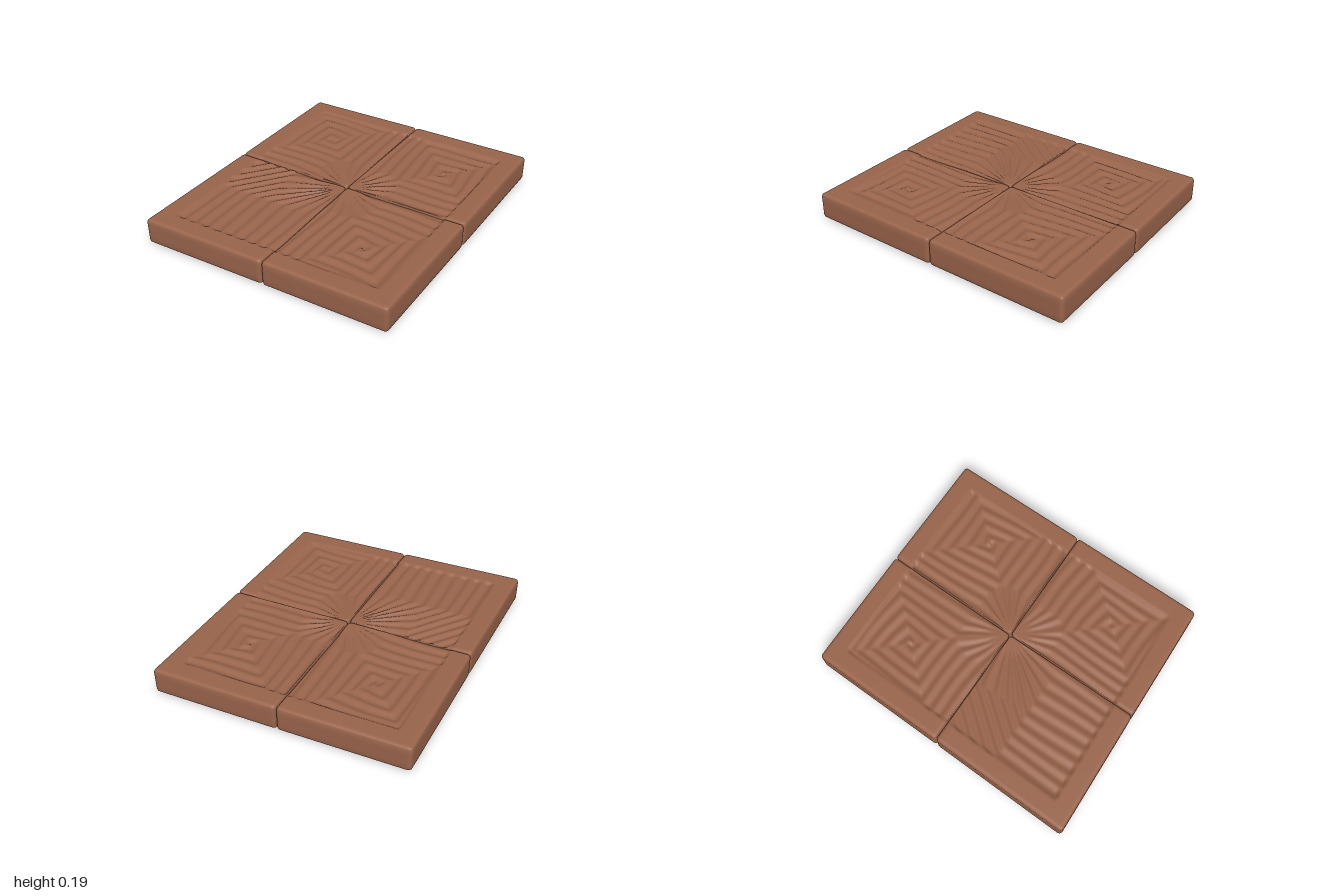
import * as THREE from 'three';
import { mergeVertices } from 'three/addons/utils/BufferGeometryUtils.js';

const clamp = THREE.MathUtils.clamp;
const smooth = THREE.MathUtils.smoothstep;
const TOP = 0.189, BASE = 0.008, H = TOP - BASE, R = 0.026;
const W = 0.87, D = 0.97, N = 84;

// slightly skewed outline: 3 x 3 corner points [x, z], rows from back to front
const corners = [
  [[-0.845, -0.955], [0.02, -0.98], [0.885, -1.0]],
  [[-0.865, 0.01], [0, 0], [0.865, -0.015]],
  [[-0.89, 1.0], [-0.01, 0.97], [0.845, 0.945]],
];

// the four slabs; centre is the middle of the carved spiral, none for the fan
const slabs = [
  { name: 'backRightSlab', i: 0, j: 0, centre: [0.43, 0.51] },
  { name: 'backLeftSlab', i: 1, j: 0, centre: [0.48, 0.5] },
  { name: 'frontRightSlab', i: 0, j: 1, centre: null },
  { name: 'frontLeftSlab', i: 1, j: 1, centre: [0.44, 0.53] },
];

// pull points near the middle out to a square, so grooves there run to the middle
function fanOut(a, b, size) {
  const m = Math.pow(a ** 5 + b ** 5, 0.2);
  const s = m < size ? size / Math.max(m, 1e-4) : 1;
  return [a * s, b * s];
}

// depth of the carving below the rim for a point of the panel
function carving(x, z, centre) {
  const a = Math.abs(x), b = Math.abs(z);
  let phase;
  if (centre) {
    const [p, q] = fanOut(a, b, 0.29);
    const dx = p - centre[0], dz = (q - centre[1]) * 0.92;
    const d = Math.max(Math.abs(dx), Math.abs(dz));
    phase = d / 0.078 + Math.atan2(dz, dx) / (2 * Math.PI);
  } else {
    const [p, q] = fanOut(a, b, 0.4);
    phase = (p + 0.8 * Math.max(0, 0.4 - q)) / 0.088;
  }
  phase += 0.1 * Math.sin(9 * x + 5 * z);
  const wave = 0.5 + 0.5 * Math.cos(phase * 2 * Math.PI);
  return 0.006 + 0.013 * wave * smooth(Math.hypot(a, b), 0.02, 0.2);
}

function slabGeometry({ i, j, centre }) {
  const g = new THREE.BoxGeometry(1, 1, 1, N, 8, N);
  g.deleteAttribute('uv');
  g.deleteAttribute('normal');
  const pos = g.attributes.position;
  const p = new THREE.Vector3(), c = new THREE.Vector3();
  const [A, B] = [corners[j][i], corners[j][i + 1]];
  const [C, E] = [corners[j + 1][i], corners[j + 1][i + 1]];
  for (let k = 0; k < pos.count; k++) {
    // rounded box
    p.fromBufferAttribute(pos, k);
    p.set(p.x * W, 0.5 * Math.sin(Math.PI * p.y) * H, p.z * D);
    c.set(
      clamp(p.x, R - W / 2, W / 2 - R),
      clamp(p.y, R - H / 2, H / 2 - R),
      clamp(p.z, R - D / 2, D / 2 - R));
    p.sub(c).setLength(R).add(c);

    // fit it into its quarter of the outline
    const u = p.x / W + 0.5, v = p.z / D + 0.5;
    const at = (n) => (A[n] * (1 - u) + B[n] * u) * (1 - v) + (C[n] * (1 - u) + E[n] * u) * v;
    const x = at(0), z = at(1);
    let y = p.y + H / 2 + BASE;

    // sunken panel with grooves, inside the outer rim
    const rim = Math.min((i ? 1 - u : u) * W, (j ? 1 - v : v) * D);
    const panel = smooth(rim, 0.13, 0.148);
    if (y > TOP - R) y = Math.min(y, TOP - panel * carving(x, z, centre));
    // softly bulging underside
    if (y < BASE + 0.001) y -= 0.008 * Math.sin(Math.PI * u) * Math.sin(Math.PI * v);
    pos.setXYZ(k, x, y, z);
  }
  const merged = mergeVertices(g, 1e-5);
  merged.computeVertexNormals();
  return merged;
}

export function createModel() {
  const group = new THREE.Group();
  group.name = 'carvedTile';
  const clay = new THREE.MeshStandardMaterial({ color: 0x99644b });
  clay.name = 'brownClay';
  for (const slab of slabs) {
    const mesh = new THREE.Mesh(slabGeometry(slab), clay);
    mesh.name = slab.name;
    group.add(mesh);
  }
  return group;
}
